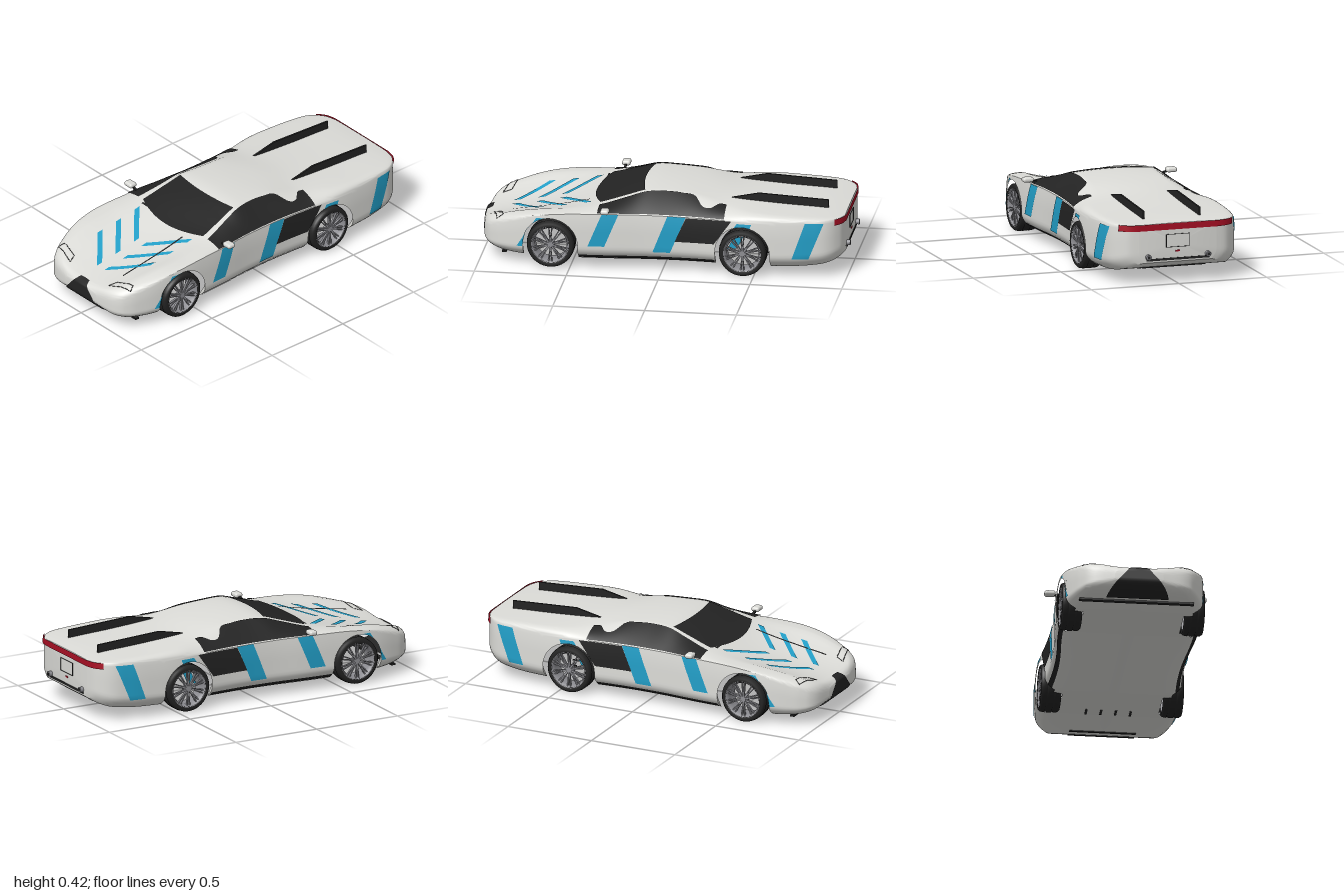
import * as THREE from 'three';
import { mergeGeometries, toCreasedNormals } from 'three/addons/utils/BufferGeometryUtils.js';
import { RoundedBoxGeometry } from 'three/addons/geometries/RoundedBoxGeometry.js';

const V = (x, y, z) => new THREE.Vector3(x, y, z);
const lerp = THREE.MathUtils.lerp;
const paint = (name, color, side = THREE.DoubleSide) => {
  const m = new THREE.MeshStandardMaterial({ color, side });
  m.name = name;
  return m;
};

// Smooth curve through (z, value) points, tail to nose
const curve = (pts) => {
  const c = new THREE.CubicInterpolant(pts.map((p) => p[0]), pts.map((p) => p[1]), 1);
  return (z) => c.evaluate(z)[0];
};

// Body lines along z: half width, bottom, shoulder, roof edge and centre line
const width = curve([[-.98, .22], [-.97, .265], [-.95, .3], [-.9, .345], [-.8, .372], [-.65, .387], [-.5, .391], [-.3, .372], [-.1, .362],
  [.1, .366], [.3, .383], [.45, .39], [.6, .391], [.75, .371], [.86, .336], [.92, .307], [.965, .265], [.985, .217], [1, .13]]);
const bottom = curve([[-.98, .12], [-.95, .1], [-.9, .08], [-.8, .064], [-.6, .055], [0, .052], [.7, .052], [.85, .056], [.93, .07], [.98, .095], [1, .12]]);
const shoulder = curve([[-.98, .328], [-.9, .328], [-.6, .312], [-.35, .312], [0, .315], [.35, .315], [.6, .303], [.75, .275], [.88, .228], [.96, .19], [1, .155]]);
const edgeX = curve([[-.98, .19], [-.95, .26], [-.9, .29], [-.7, .33], [-.5, .32], [-.34, .26], [-.15, .225], [0, .22],
  [.2, .25], [.35, .28], [.6, .3], [.8, .275], [.92, .235], [.98, .16], [1, .09]]);
const edgeY = curve([[-.98, .33], [-.9, .337], [-.6, .348], [-.34, .365], [-.15, .402], [0, .413], [.1, .41], [.2, .38],
  [.35, .337], [.5, .318], [.7, .298], [.85, .265], [.94, .235], [.98, .208], [1, .18]]);
// The bonnet sinks between the two front wings
const centreY = curve([[-.98, .332], [-.9, .341], [-.6, .358], [-.4, .375], [-.2, .405], [0, .423], [.1, .421], [.2, .395],
  [.4, .324], [.5, .295], [.57, .278], [.7, .251], [.85, .226], [.95, .208], [.98, .201], [1, .188]]);
const bulge = curve([[-.98, .8], [-.5, .8], [-.3, .3], [.3, .3], [.45, .8], [1, .8]]);

const AXLES = [-.44, .605], HUB = .13, ARCH = .15;

// Half width of the side wall at a height
const sideX = (z, y) => {
  const b = bottom(z), t = THREE.MathUtils.clamp((y - b) / (shoulder(z) - b), 0, 1);
  return width(z) * (1 - .14 * Math.max(0, 1 - t / .27) ** 2 - .015 * Math.max(0, (t - .6) / .4) ** 2);
};
// Upper skin: t 0..1 shoulder to roof edge, 1..2 roof edge to centre line
const upper = (z, t) => {
  const sy = shoulder(z), sx = sideX(z, sy), rx = edgeX(z), ry = edgeY(z);
  if (t > 1) return V(rx * (2 - t), ry + (centreY(z) - ry) * (1 - (2 - t) ** 2), z);
  const k = bulge(z), cx = lerp((sx + rx) / 2, sx, k), cy = lerp((sy + ry) / 2, ry, k), u = 1 - t;
  return V(u * u * sx + 2 * u * t * cx + t * t * rx, u * u * sy + 2 * u * t * cy + t * t * ry, z);
};
const bisect = (lo, hi, keep) => {
  for (let i = 0; i < 26; i++) {
    const m = (lo + hi) / 2;
    if (keep(m)) lo = m; else hi = m;
  }
  return lo;
};
const topY = (x, z) => upper(z, bisect(0, 2, (t) => upper(z, t).x > Math.abs(x))).y;
const inside = (x, y, z) => y > bottom(z) && (y < shoulder(z) ? Math.abs(x) < sideX(z, y)
  : Math.abs(x) < upper(z, 0).x && y < topY(x, z));
const frontZ = (x, y) => bisect(.7, 1, (z) => inside(x, y, z));
const archY = (z) => Math.max(0, ...AXLES.map((c) => (Math.abs(z - c) < ARCH ? HUB + Math.sqrt(ARCH ** 2 - (z - c) ** 2) : 0)));

// Indexed surface through rows of points
const grid = (rows) => {
  const n = rows[0].length, index = [];
  for (let i = 0; i < rows.length - 1; i++) for (let j = 0; j < n - 1; j++) {
    const a = i * n + j, d = a + n;
    index.push(a, a + 1, d + 1, a, d + 1, d);
  }
  const g = new THREE.BufferGeometry().setFromPoints(rows.flat());
  g.setIndex(index);
  g.computeVertexNormals();
  return g;
};
const patch = (ns, nt, fn) => grid(Array.from({ length: ns + 1 }, (_, i) =>
  Array.from({ length: nt + 1 }, (_, j) => fn(i / ns, j / nt))));

function bodyGeometry() {
  // Stations along z, with the wheel arches lifting the lower edge of the wall
  const stations = [];
  for (let i = 0; i <= 90; i++) {
    const z = .01 - .99 * Math.cos(Math.PI * i / 90);
    if (AXLES.every((c) => Math.abs(z - c) > ARCH + .005)) stations.push({ z, low: bottom(z) });
  }
  for (const c of AXLES) {
    for (let i = 0; i <= 24; i++) {
      const a = Math.PI * (1 - i / 24), z = c + ARCH * Math.cos(a);
      if (i === 0) stations.push({ z, low: bottom(z) });
      stations.push({ z, low: HUB + ARCH * Math.sin(a) });
      if (i === 24) stations.push({ z, low: bottom(z) });
    }
  }
  stations.sort((a, b) => (Math.abs(a.z - b.z) < 1e-9 ? 0 : a.z - b.z));
  const skin = stations.map(({ z, low }) => {
    const half = [];
    for (let j = 0; j < 16; j++) {
      const y = lerp(low, shoulder(z), j / 16);
      half.push(V(sideX(z, y), y, z));
    }
    for (let j = 0; j <= 16; j++) half.push(upper(z, j / 8));
    return half.concat(half.slice(0, -1).reverse().map((p) => V(-p.x, p.y, p.z)));
  });
  // Floor, notched where the tyres pass through
  const floor = stations.map(({ z }) => {
    const x = AXLES.some((c) => Math.abs(z - c) < .112) ? .272 : sideX(z, bottom(z));
    return [V(-x, bottom(z), z), V(0, bottom(z), z), V(x, bottom(z), z)];
  });
  const tail = [...skin[0], skin[0][0]], nose = [...skin.at(-1), skin.at(-1)[0]];
  return toCreasedNormals(mergeGeometries([grid(skin), grid(floor),
    grid([tail.map(() => V(0, .22, -.98)), tail]), grid([nose, nose.map(() => V(0, .15, 1))])]), .7);
}

export function createModel() {
  const white = paint('body white', 0xdcdcd8, THREE.FrontSide), black = paint('gloss black', 0x232323);
  const blue = paint('stripe blue', 0x229fc8), red = paint('lamp red', 0xa80f24), grey = paint('rim grey', 0x8e8e93);
  const car = new THREE.Group();
  car.name = 'car';
  const add = (name, geo, mat, parent = car) => {
    const m = new THREE.Mesh(geo, mat);
    m.name = name;
    parent.add(m);
    return m;
  };
  const box = (name, mat, w, h, d, x, y, z, parent) => {
    const m = add(name, new THREE.BoxGeometry(w, h, d), mat, parent);
    m.position.set(x, y, z);
    return m;
  };
  // Thin plates lying on the top skin and on the side walls
  const onTop = (name, mat, ns, nt, fn) => add(name, patch(ns, nt, (s, t) => {
    const [x, z] = fn(s, t);
    return V(x, topY(x, z) + .004, z);
  }), mat);
  const onSide = (name, mat, side, y0, y1, low, high) => add(name, patch(14, 10, (s, t) => {
    const z = lerp(lerp(low[0], low[1], t), lerp(high[0], high[1], t), s);
    const y = Math.min(shoulder(z), Math.max(lerp(y0, y1, s), archY(z) + .002));
    return V(side * (sideX(z, y) + .004), y, z);
  }), mat);

  add('body', bodyGeometry(), white);

  // Windscreen and wiper
  onTop('windscreen', black, 16, 20, (s, t) => {
    const u = t * 2 - 1;
    return [u * lerp(.22, .25, s), lerp(.135 - .025 * u * u, .405 - .055 * u * u, s)];
  });
  onTop('wiper', black, 1, 4, (s, t) => [lerp(-.23, -.15, t), .365 + .012 * s]);

  // Nose grille, splitter and bonnet line
  add('grille', patch(16, 12, (s, t) => {
    const y = lerp(.206, .062, s), x = (t * 2 - 1) * lerp(.035, .17, s);
    return V(x, y + (y - .15) * .06, frontZ(x, y) + .005);
  }), black);
  box('splitter', black, .62, .01, .025, 0, .055, .865);
  onTop('bonnetLine', black, 12, 1, (s, t) => [.156 + .01 * t, lerp(.42, .84, s)]);

  // Side glass upper edge, dipping at the rear pillar
  const glassTop = curve([[-.34, .97], [-.3, .9], [-.26, .55], [-.21, .55], [-.17, .92], [-.1, .97], [.1, .97], [.35, .97]]);

  for (const side of [1, -1]) {
    add('sideWindow', patch(46, 10, (s, t) => {
      const z = lerp(-.34, .35, s), p = upper(z, lerp(.03, glassTop(z), t));
      return V(side * (p.x + .003), p.y + .004, p.z);
    }), black);

    // Bonnet chevrons
    for (const z of [.4, .53, .66]) onTop('bonnetStripe', blue, 12, 2, (s, t) =>
      [side * lerp(.22, .03, s), z + .165 * s + .036 * t]);

    // Slanted side stripes, intake and sill
    onSide('frontStripe', blue, side, .11, .28, [.79, .73], [.68, .6]);
    onSide('doorStripe', blue, side, .135, .315, [.4, .31], [.325, .235]);
    onSide('middleStripe', blue, side, .11, .315, [.05, -.045], [-.03, -.13]);
    onSide('archStripe', blue, side, .27, .3, [-.39, -.48], [-.41, -.49]);
    onSide('rearStripe', blue, side, .115, .315, [-.71, -.8], [-.78, -.88]);
    onSide('sideIntake', black, side, .175, .31, [-.07, -.285], [-.13, -.38]);
    onSide('sill', black, side, .06, .08, [.45, -.285], [.45, -.285]);
    add('innerStripe', patch(1, 1, (s, t) => V(side * .3, lerp(.13, .23, s), lerp(-.35, -.4, s) - .05 * t)), blue);

    // Headlight outline
    const outline = [[.3, .905], [.285, .875], [.18, .895], [.16, .94], [.21, .928], [.3, .905]];
    for (let i = 0; i < outline.length - 1; i++) {
      const pts = [0, .25, .5, .75, 1].map((k) => {
        const x = lerp(outline[i][0], outline[i + 1][0], k), z = lerp(outline[i][1], outline[i + 1][1], k);
        return V(side * x, topY(x, z), z);
      });
      add('headlightOutline', new THREE.TubeGeometry(new THREE.CatmullRomCurve3(pts), 8, .002, 5), black);
    }

    // Deck fin
    const fin = new THREE.Shape([[-.33, .345], [-.33, .37], [-.5, .406], [-.88, .386], [-.88, .33]].map((p) => new THREE.Vector2(...p)));
    add('deckFin', new THREE.ExtrudeGeometry(fin, { depth: .01, bevelEnabled: false })
      .rotateY(-Math.PI / 2).translate(side * .16 + .005, 0, 0), black);

    // Door mirror
    const arm = box('mirrorArm', black, .05, .01, .012, side * .37, .332, .305);
    arm.rotation.z = side * .3;
    add('mirror', new RoundedBoxGeometry(.06, .027, .046, 4, .012), white).position.set(side * .409, .344, .303);

    // Exhaust
    const pipe = add('exhaust', new THREE.CylinderGeometry(.015, .015, .04, 16).rotateX(Math.PI / 2), grey);
    pipe.position.set(side * .17, .152, -.98);
    box('exhaustBore', black, .016, .016, .004, side * .17, .152, -.999);

    // Wheels
    for (const z of AXLES) {
      const wheel = new THREE.Group();
      wheel.name = 'wheel';
      wheel.position.set(side * .331, HUB, z);
      wheel.rotation.y = side > 0 ? 0 : Math.PI;
      car.add(wheel);
      const lathe = (name, mat, pts) => add(name, new THREE.LatheGeometry(pts.map((p) => new THREE.Vector2(...p)), 48)
        .rotateZ(-Math.PI / 2), mat, wheel);
      lathe('tyre', black, [[.1, -.05], [.118, -.056], [.127, -.046], [.13, -.025], [.125, -.022], [.125, -.016], [.13, -.013],
        [.13, .013], [.125, .016], [.125, .022], [.13, .025], [.127, .046], [.118, .056], [.1, .052]]);
      lathe('rim', grey, [[.101, -.05], [.09, -.035], [.088, .03], [.096, .05], [.103, .053]]);
      add('hub', new THREE.CylinderGeometry(.016, .024, .03, 20).rotateZ(-Math.PI / 2), grey, wheel).position.x = .032;
      for (let i = 0; i < 20; i++) {
        const a = (Math.floor(i / 2) + (i % 2 ? .14 : -.14)) * Math.PI / 5;
        const spoke = box('spoke', grey, .012, .08, .006, .04, .055 * Math.cos(a), .055 * Math.sin(a), wheel);
        spoke.rotation.x = a;
      }
    }
  }

  // Tail lamp wrapping both rear corners
  const path = [-.93, -.945, -.955, -.965, -.972, -.98];
  add('tailLamp', grid([.297, .315, .331].map((y) => {
    const left = path.map((z) => V(sideX(z, y) + .005, y, z - .006));
    return left.concat(left.slice().reverse().map((p) => V(-p.x, p.y, p.z)));
  })), red);

  // Plate outline, reflector, bumper slot
  for (const s of [1, -1]) {
    box('plateFrame', black, .0025, .07, .004, s * .065, .235, -.981);
    box('plateFrame', black, .13, .0025, .004, 0, .235 + s * .035, -.981);
  }
  box('reflector', red, .025, .008, .004, 0, .178, -.981);
  box('bumperSlot', black, .36, .012, .006, 0, .135, -.98);

  // Underside vents
  for (const z of [-.91, -.83]) box('diffuserSlot', black, .36, .008, .016, 0, bottom(z), z);
  for (const x of [-.12, -.04, .04, .12]) box('floorSlot', black, .012, .006, .06, x, bottom(-.55), -.55);
  return car;
}
